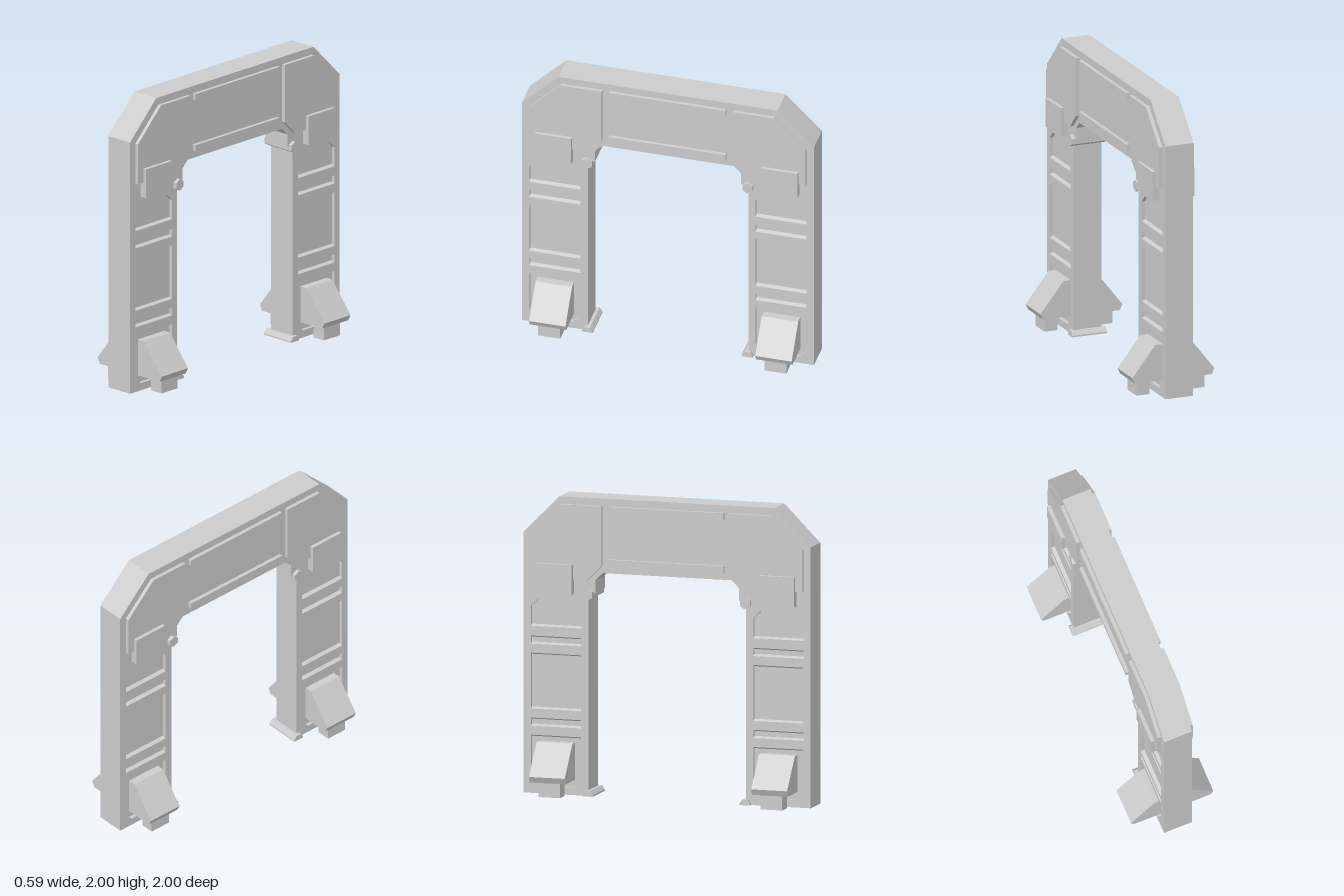
import * as THREE from 'three';

const material = new THREE.MeshStandardMaterial({ color: 0xcccccc, flatShading: true });

const toVectors = (points) => points.map(([a, b]) => new THREE.Vector2(a, b));

// Prism whose outline lies in (z, y), running from x0 to x1
function sidePrism(outline, x0, x1, holes = []) {
  const shape = new THREE.Shape(toVectors(outline));
  shape.holes = holes.map((hole) => new THREE.Path(toVectors(hole)));
  return new THREE.ExtrudeGeometry(shape, { depth: x1 - x0, bevelEnabled: false })
    .rotateY(-Math.PI / 2).translate(x1, 0, 0);
}

// Prism whose outline lies in (x, y), running from z0 to z1
function frontPrism(outline, z0, z1) {
  return new THREE.ExtrudeGeometry(new THREE.Shape(toVectors(outline)), { depth: z1 - z0, bevelEnabled: false })
    .translate(0, 0, z0);
}

function box(x0, x1, y0, y1, z0, z1) {
  return new THREE.BoxGeometry(x1 - x0, y1 - y0, z1 - z0)
    .translate((x0 + x1) / 2, (y0 + y1) / 2, (z0 + z1) / 2);
}

const flip = (points, sx, sy = 1) => points.map(([a, b]) => [a * sx, b * sy]);

export function createModel() {
  const group = new THREE.Group();
  const add = (name, geometry) => {
    const mesh = new THREE.Mesh(geometry, material);
    mesh.name = name;
    group.add(mesh);
  };

  const face = 0.1, floor = 0.075, raised = 0.125;

  // Half of the arch outline, from the outer foot to the inner foot
  const outer = [[1, 0], [1, 1.75], [0.75, 2]];
  const inner = [[0.45, 1.5], [0.5, 1.45], [0.5, 1.365], [0.55, 1.345], [0.55, 0]];
  const arch = [
    ...outer, ...flip(outer, -1).reverse(),
    ...flip(inner, -1).reverse(), ...inner,
  ];

  // Recessed leg panels
  const recesses = [
    [[0.6, 1.12], [0.6, 1.255], [0.65, 1.305], [0.9, 1.305], [0.95, 1.255], [0.95, 1.12]],
    [[0.6, 1], [0.6, 1.055], [0.95, 1.055], [0.95, 1]],
    [[0.6, 0.565], [0.6, 0.94], [0.95, 0.94], [0.95, 0.565]],
    [[0.6, 0.45], [0.6, 0.505], [0.95, 0.505], [0.95, 0.45]],
    [[0.65, 0.05], [0.6, 0.1], [0.6, 0.39], [0.95, 0.39], [0.95, 0.1], [0.9, 0.05]],
  ];
  const holes = [...recesses, ...recesses.map((r) => flip(r, -1))];
  add('archCore', sidePrism(arch, -floor, floor));
  add('leftSkin', sidePrism(arch, floor, face, holes));
  add('rightSkin', sidePrism(arch, -face, -floor, holes));

  const cornerPlate = [[0.45, 1.95], [0.73, 1.95], [0.95, 1.73], [0.95, 1.45], [0.55, 1.45], [0.45, 1.55]];
  const outrigger = [[floor, 0.35], [0.13, 0.35], [0.295, 0.14], [0.275, 0.1], [floor, 0.1]];
  const footLip = [[0.51, 0], [0.51, 0.01], [0.53, 0.037], [0.57, 0.037], [0.585, 0.01], [0.585, 0]];

  for (const sx of [1, -1]) {
    const span = (a, b) => (sx > 0 ? [a, b] : [-b, -a]);

    // Long ribs on the crossbeam
    for (const y of [1.55, 1.905]) add('beamRib', box(...span(face, raised), y, y + 0.045, -0.4, 0.4));

    for (const sz of [1, -1]) {
      const along = (a, b) => (sz > 0 ? [a, b] : [-b, -a]);
      add('cornerPlate', sidePrism(flip(cornerPlate, sz), ...span(face, raised)));
      add('shoulderPad', box(...span(face, 0.15), 1.35, 1.55, ...along(0.65, 0.9)));

      // Sloped upper and lower edges of the recesses
      for (const [y, dir] of [[1.12, 1], [1.055, -1], [1, 1], [0.94, -1], [0.565, 1], [0.505, -1], [0.45, 1], [0.39, -1]]) {
        const wedge = [[floor, y], [face, y], [floor, y + dir * 0.011]];
        add('recessSlope', frontPrism(flip(wedge, sx), ...along(0.6, 0.95)));
      }

      // Stabiliser with its foot block
      add('outrigger', frontPrism(flip(outrigger, sx), ...along(0.65, 0.9)));
      add('outriggerFoot', box(...span(0.15, 0.245), 0, 0.1, ...along(0.7, 0.85)));
    }
  }

  for (const sz of [1, -1]) {
    // Hexagonal bar under the inner corner
    add('hexBar', new THREE.CylinderGeometry(0.04, 0.04, 0.25, 6, 1, false, Math.PI / 6)
      .rotateZ(Math.PI / 2).translate(0, 1.353, sz * 0.55));
    add('footLip', sidePrism(flip(footLip, sz), -raised, raised));
  }

  return group;
}
